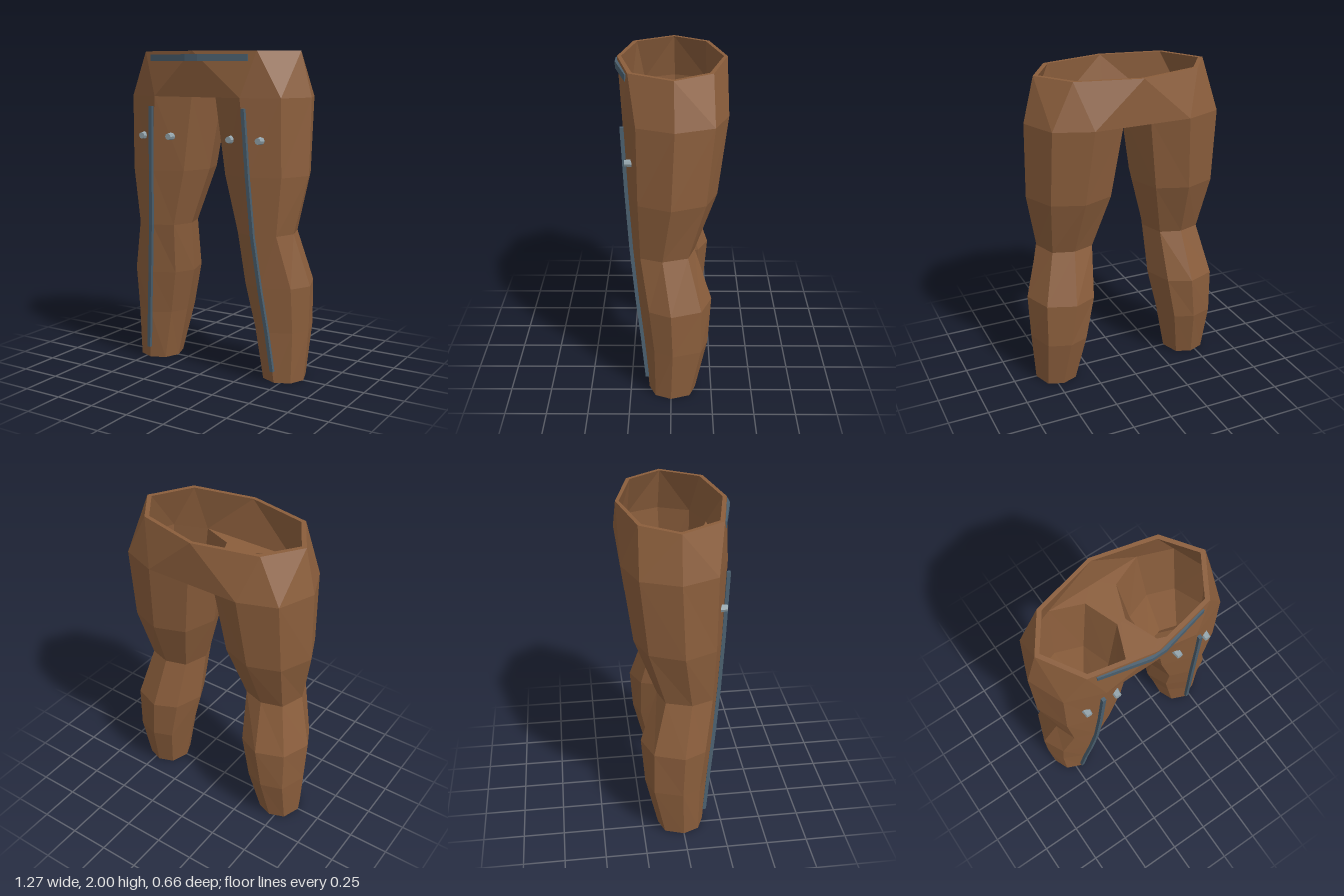
import * as THREE from 'three';

const mat = (color) => new THREE.MeshStandardMaterial({ color, flatShading: true, side: THREE.DoubleSide });
const leather = mat(0x8b5e3c), strap = mat(0x4a5f6e), metal = mat(0x93a4ac);
const WALL = 0.028;

// Mesh from a list of triangles, each three [x, y, z] corners
function triMesh(name, tris, material) {
  const geo = new THREE.BufferGeometry();
  geo.setAttribute('position', new THREE.Float32BufferAttribute(tris.flat(2), 3));
  geo.computeVertexNormals();
  const mesh = new THREE.Mesh(geo, material);
  mesh.name = name;
  return mesh;
}

// Triangles joining successive rings of equal length
function loft(rings) {
  const tris = [];
  for (let r = 0; r < rings.length - 1; r++) {
    const a = rings[r], b = rings[r + 1], n = a.length;
    for (let i = 0; i < n; i++) {
      const j = (i + 1) % n;
      tris.push([a[i], a[j], b[j]], [a[i], b[j], b[i]]);
    }
  }
  return tris;
}

// Ring moved inward by the wall thickness
function shrink(ring) {
  const cx = ring.reduce((s, p) => s + p[0], 0) / ring.length;
  const cz = ring.reduce((s, p) => s + p[2], 0) / ring.length;
  return ring.map(([x, y, z]) => {
    const k = 1 - WALL / Math.hypot(x - cx, z - cz);
    return [cx + (x - cx) * k, y, cz + (z - cz) * k];
  });
}

// Leg sections: y, five x (inner to outer), five z (front to back)
const sections = [
  [0.00, 0.33, 0.37, 0.465, 0.56, 0.60, 0.135, 0.095, 0.00, -0.115, -0.15],
  [0.32, 0.265, 0.315, 0.435, 0.57, 0.625, 0.165, 0.10, -0.01, -0.18, -0.225],
  [0.60, 0.20, 0.26, 0.40, 0.57, 0.635, 0.20, 0.13, 0.00, -0.18, -0.245],
  [0.92, 0.185, 0.235, 0.365, 0.495, 0.545, 0.23, 0.18, 0.05, -0.10, -0.14],
  [1.27, 0.08, 0.15, 0.34, 0.53, 0.615, 0.255, 0.19, 0.00, -0.20, -0.27],
  [1.73, 0.00, 0.085, 0.30, 0.525, 0.615, 0.28, 0.195, -0.02, -0.245, -0.33],
];
const legRings = sections.map(([y, xi, xid, xm, xod, xo, zf, zfd, zm, zbd, zb]) => [
  [xm, y, zf], [xod, y, zfd], [xo, y, zm], [xod, y, zbd],
  [xm, y, zb], [xid, y, zbd], [xi, y, zm], [xid, y, zfd],
]);

// Rectangular bar along a path; axis is the direction of its width
function bar(name, path, axis, width, depth) {
  const rings = path.map(([x, y, z]) => [[-1, -1], [1, -1], [1, 1], [-1, 1]].map(([u, v]) => {
    const w = u * width / 2;
    return [x + (axis === 'x' ? w : 0), y + (axis === 'y' ? w : 0), z + v * depth / 2];
  }));
  const tris = loft(rings);
  for (const [a, b, c, d] of [rings[0], [...rings.at(-1)].reverse()]) tris.push([a, c, b], [a, d, c]);
  // keep faces outward whichever way the path runs
  if (axis === 'x') tris.forEach((t) => t.reverse());
  return triMesh(name, tris, strap);
}

function createLeg(name) {
  const leg = new THREE.Group();
  leg.name = name;
  // Outer wall up, over the top rim, inner wall down, and round the hem
  const inner = legRings.map(shrink).reverse();
  leg.add(triMesh('trouserLeg', loft([...legRings, ...inner, legRings[0]]), leather));

  // Long strip down the front seam
  leg.add(bar('frontStrip', [
    [0.325, 1.67, 0.283], [0.345, 1.27, 0.262], [0.367, 0.92, 0.238],
    [0.401, 0.60, 0.206], [0.435, 0.32, 0.173], [0.46, 0.075, 0.148],
  ], 'x', 0.022, 0.022));

  // Two studs on the thigh
  for (const x of [0.215, 0.413]) {
    const stud = new THREE.Mesh(new THREE.CylinderGeometry(0.02, 0.025, 0.045, 8), metal);
    stud.name = 'stud';
    stud.rotation.x = Math.PI / 2;
    stud.position.set(x, 1.485, 0.243);
    leg.add(stud);
  }
  return leg;
}

// Half of the hip wall between the leg tops and the waist
function hipWall(b, w) {
  const m0 = [0, b[0][1], b[0][2]], m4 = [0, b[4][1], b[4][2]];
  return [
    [m0, b[0], w[0]], [b[0], w[1], w[0]], [b[0], b[1], w[1]], [b[1], w[2], w[1]],
    [b[1], b[2], w[2]], [b[2], b[3], w[2]], [b[3], w[3], w[2]],
    [b[3], b[4], w[3]], [b[4], w[4], w[3]], [b[4], m4, w[4]],
  ];
}

function createHips() {
  const b = legRings.at(-1), bIn = shrink(b);
  const w = [[0, 2, 0.32], [0.39, 2, 0.24], [0.545, 2, -0.015], [0.39, 2, -0.235], [0, 2, -0.33]];
  const wIn = [[0, 2, 0.296], [0.372, 2, 0.217], [0.514, 2, -0.015], [0.372, 2, -0.214], [0, 2, -0.308]];
  const half = [...hipWall(b, w), ...hipWall(bIn, wIn).map((t) => [...t].reverse())];
  // Waist rim
  for (let i = 0; i < 4; i++) half.push([w[i], w[i + 1], wIn[i + 1]], [w[i], wIn[i + 1], wIn[i]]);
  // Crotch panel between the legs
  const m0 = [0, 1.73, b[0][2]], m4 = [0, 1.73, b[4][2]];
  half.push([m0, b[6], b[7]], [m0, b[7], b[0]], [m4, b[4], b[5]], [m4, b[5], b[6]]);
  // Mirror to the other side
  const mirrored = half.map((t) => t.map(([x, y, z]) => [-x, y, z]).reverse());
  return triMesh('hips', [...half, ...mirrored], leather);
}

export function createModel() {
  const model = new THREE.Group();
  model.name = 'trousers';
  const leftLeg = createLeg('leftLeg'), rightLeg = createLeg('rightLeg');
  rightLeg.scale.x = -1;
  model.add(leftLeg, rightLeg, createHips());

  // Bent belt plate across the front of the waist
  model.add(bar('beltPlate', [
    [-0.34, 1.96, 0.249], [-0.045, 1.96, 0.32], [0.045, 1.96, 0.32], [0.34, 1.96, 0.249],
  ], 'y', 0.04, 0.022));
  return model;
}
